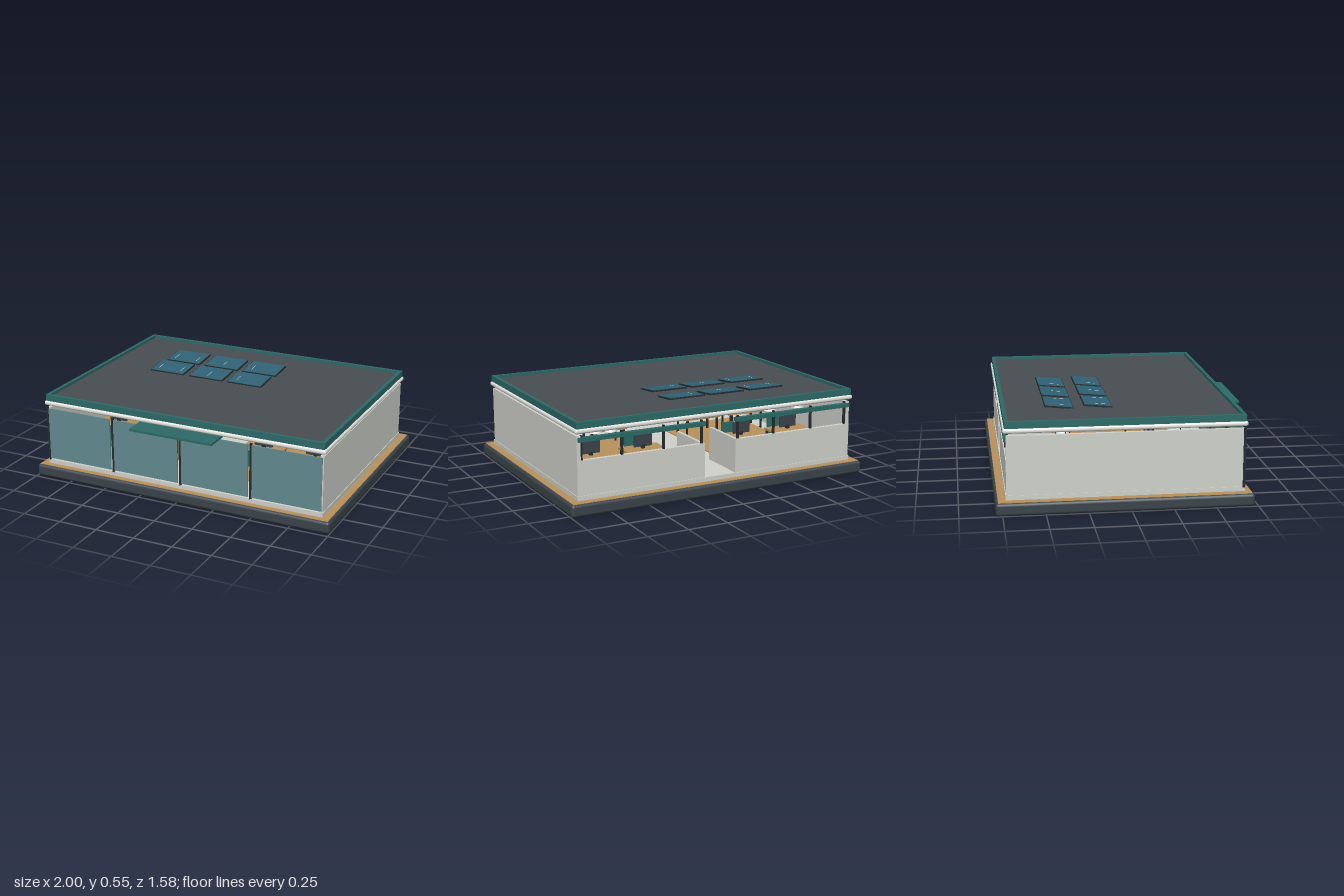
import * as THREE from 'three';
import { RoundedBoxGeometry } from 'three/addons/geometries/RoundedBoxGeometry.js';

const mat = (name, color) => Object.assign(new THREE.MeshStandardMaterial({ color }), { name });

export function createModel() {
  const M = {
    charcoal: mat('charcoal', 0x3a444a),
    wood: mat('wood', 0xb8925c),
    wall: mat('wall', 0xd0d2cb),
    trim: mat('trim', 0xe2e2dd),
    teal: mat('teal', 0x2c6a67),
    glass: mat('glass', 0x628a8f),
    frame: mat('frame', 0x262b2e),
    roof: mat('roof', 0x474e51),
    solar: mat('solar', 0x306275),
  };
  const model = new THREE.Group();
  model.name = 'pavilion';

  const add = (name, geo, m, x = 0, y = 0, z = 0, parent = model) => {
    const mesh = new THREE.Mesh(geo, M[m]);
    mesh.name = name;
    mesh.position.set(x, y, z);
    parent.add(mesh);
    return mesh;
  };
  // Box given by its limits on each axis
  const box = (name, m, x0, x1, y0, y1, z0, z1, parent) => add(name,
    new THREE.BoxGeometry(x1 - x0, y1 - y0, z1 - z0), m,
    (x0 + x1) / 2, (y0 + y1) / 2, (z0 + z1) / 2, parent);
  const rounded = (name, m, x0, x1, y0, y1, z0, z1, r) => add(name,
    new RoundedBoxGeometry(x1 - x0, y1 - y0, z1 - z0, 3, r), m,
    (x0 + x1) / 2, (y0 + y1) / 2, (z0 + z1) / 2);

  // Plinth, paved border and floor slab
  rounded('plinth', 'charcoal', -1, 1, 0, 0.075, -0.79, 0.73, 0.018);
  box('pavedBorder', 'wood', -0.985, 0.985, 0.07, 0.078, -0.775, 0.715);
  box('floorSlab', 'wall', -0.94, 0.94, 0.075, 0.105, -0.73, 0.68);

  // Solid side walls, and the back parapets and window bays beside the doorway
  for (const s of [-1, 1]) {
    const span = (name, m, a, b, ...rest) => box(name, m, Math.min(s * a, s * b), Math.max(s * a, s * b), ...rest);
    span('sideWall', 'wall', 0.912, 0.936, 0.105, 0.459, -0.722, 0.672);
    span('backLowWall', 'wall', 0.105, 0.936, 0.105, 0.315, -0.725, -0.7);
    span('entryPartition', 'wall', 0.105, 0.125, 0.105, 0.315, -0.7, -0.4);
    span('windowHead', 'teal', 0.105, 0.93, 0.425, 0.45, -0.735, -0.705);
    for (const x of [0.125, 0.38, 0.65, 0.905])
      span('windowPost', 'frame', x - 0.006, x + 0.006, 0.315, 0.46, -0.72, -0.705);
    span('floorRug', 'wood', 0.18, 0.8, 0.105, 0.111, -0.35, 0.45);
  }

  // Glazed front: one post at the left edge of each pane
  for (let i = 0; i < 4; i++) {
    const x = -0.935 + i * 0.47;
    box('frontPost', 'frame', x - 0.005, x + 0.008, 0.1, 0.46, 0.665, 0.68);
    box('frontPane', 'glass', x + 0.005, x + 0.453, 0.113, 0.45, 0.67, 0.678);
  }
  box('entranceCanopy', 'teal', -0.278, 0.275, 0.449, 0.463, 0.63, 0.79);

  // Roof slab with rounded edge, dark deck and raised rim
  rounded('cornice', 'trim', -0.95, 0.95, 0.474, 0.503, -0.74, 0.69, 0.013);
  box('roofDeck', 'roof', -0.93, 0.93, 0.5, 0.525, -0.715, 0.665);
  const ring = new THREE.Shape([[-0.94, -0.705], [0.94, -0.705], [0.94, 0.705], [-0.94, 0.705]]
    .map(([x, y]) => new THREE.Vector2(x, y)));
  ring.holes.push(new THREE.Path([[-0.918, -0.683], [-0.918, 0.683], [0.918, 0.683], [0.918, -0.683]]
    .map(([x, y]) => new THREE.Vector2(x, y))));
  const rimGeo = new THREE.ExtrudeGeometry(ring, { depth: 0.042, bevelEnabled: false });
  rimGeo.rotateX(-Math.PI / 2);
  add('roofRim', rimGeo, 'teal', 0, 0.501, -0.025);

  // Two rows of tilted solar panels with fine contact lines
  for (const z of [-0.385, -0.15]) {
    [[-0.475, [-0.08, 0.08]], [-0.19, [0]], [0.088, [-0.07]]].forEach(([x, lines]) => {
      const panel = new THREE.Group();
      panel.name = 'solarPanel';
      panel.position.set(x, 0.537, z);
      panel.rotation.x = 0.1;
      model.add(panel);
      box('panelFrame', 'frame', -0.121, 0.121, -0.007, 0.003, -0.087, 0.087, panel);
      box('panelCells', 'solar', -0.117, 0.117, 0.002, 0.005, -0.083, 0.083, panel);
      for (const lx of lines)
        box('contactLine', 'trim', lx - 0.0015, lx + 0.0015, 0.004, 0.006, -0.015, 0.05, panel);
    });
  }

  // Pendant lamps
  for (const z of [-0.364, 0.317])
    for (const x of [-0.78, -0.57, 0.56, 0.66]) {
      add('lampRod', new THREE.CylinderGeometry(0.003, 0.003, 0.08, 6), 'frame', x, 0.435, z);
      add('lampShade', new THREE.CylinderGeometry(0.02, 0.042, 0.04, 16), 'trim', x, 0.385, z);
    }

  // Work tables with screens and chairs on both sides
  for (const x of [-0.7, -0.35, 0.35, 0.7])
    for (const z of [-0.38, 0.2]) {
      const desk = new THREE.Group();
      desk.name = 'workTable';
      desk.position.set(x, 0.105, z);
      model.add(desk);
      box('tableTop', 'wood', -0.13, 0.13, 0.115, 0.128, -0.08, 0.08, desk);
      for (const sx of [-1, 1])
        for (const sz of [-1, 1])
          box('tableLeg', 'frame', sx * 0.115 - 0.006, sx * 0.115 + 0.006, 0, 0.115, sz * 0.065 - 0.006, sz * 0.065 + 0.006, desk);
      box('screen', 'charcoal', -0.06, 0.06, 0.14, 0.215, -0.006, 0.006, desk);
      box('screenStand', 'frame', -0.01, 0.01, 0.128, 0.15, -0.01, 0.01, desk);
      box('chairSeat', 'teal', -0.045, 0.045, 0.065, 0.08, 0.1, 0.18, desk);
      box('chairBack', 'teal', -0.045, 0.045, 0.08, 0.17, 0.17, 0.182, desk);
      box('chairStem', 'frame', -0.008, 0.008, 0, 0.065, 0.132, 0.148, desk);
    }

  return model;
}
